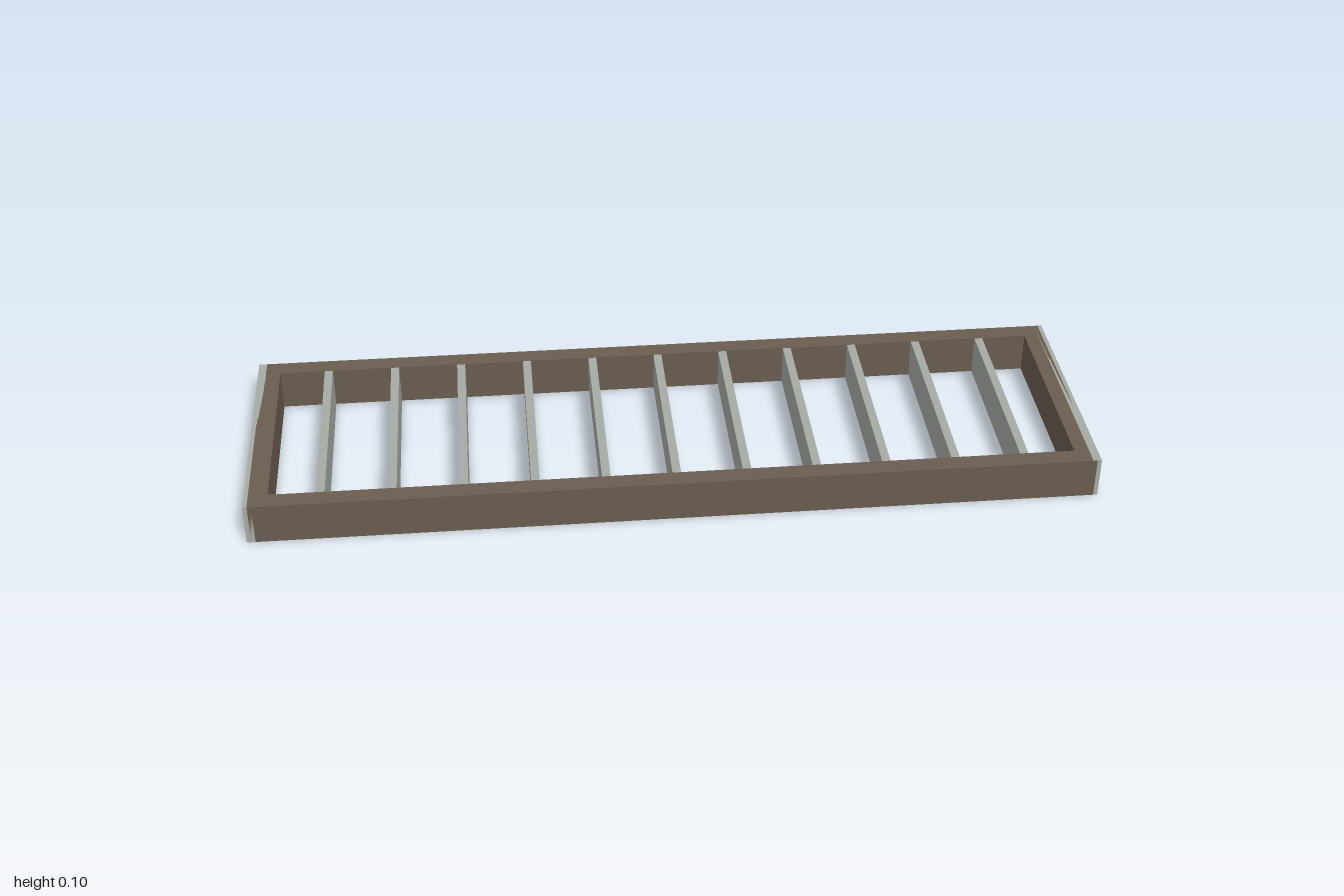
import * as THREE from 'three';

const HEIGHT = 0.1;
const HALF_DEPTH = 0.3;
const PITCH = 0.165;
const BAR_THICKNESS = 0.02;
const RAIL = 0.045;

// Adds a rectangle to a shape or a hole path
function rectangle(path, halfX, halfY) {
  path.moveTo(-halfX, -halfY);
  path.lineTo(halfX, -halfY);
  path.lineTo(halfX, halfY);
  path.lineTo(-halfX, halfY);
  path.closePath();
  return path;
}

export function createModel() {
  const group = new THREE.Group();
  group.name = 'grate';
  const frameMaterial = new THREE.MeshStandardMaterial({ color: 0x6a5d50 });
  const barMaterial = new THREE.MeshStandardMaterial({ color: 0xa6aaa4 });

  // Rectangular frame, open in the middle
  const halfWidth = PITCH * 6;
  const outline = rectangle(new THREE.Shape(), halfWidth, HALF_DEPTH);
  outline.holes.push(rectangle(new THREE.Path(), halfWidth - RAIL, HALF_DEPTH - RAIL));
  const frameGeometry = new THREE.ExtrudeGeometry(outline, { depth: HEIGHT, bevelEnabled: false });
  frameGeometry.rotateX(-Math.PI / 2);
  const frame = new THREE.Mesh(frameGeometry, frameMaterial);
  frame.name = 'frame';
  group.add(frame);

  // Evenly spaced cross bars; the outermost two cap the frame ends.
  // Inner bars are a hair smaller so their faces do not coincide with the frame.
  for (let i = -6; i <= 6; i++) {
    const inset = Math.abs(i) === 6 ? 0 : 0.0005;
    const bar = new THREE.Mesh(
      new THREE.BoxGeometry(BAR_THICKNESS, HEIGHT - 2 * inset, 2 * (HALF_DEPTH - inset)),
      barMaterial
    );
    bar.position.set(i * PITCH, HEIGHT / 2, 0);
    bar.name = inset ? 'crossBar' : 'endBar';
    group.add(bar);
  }
  return group;
}
